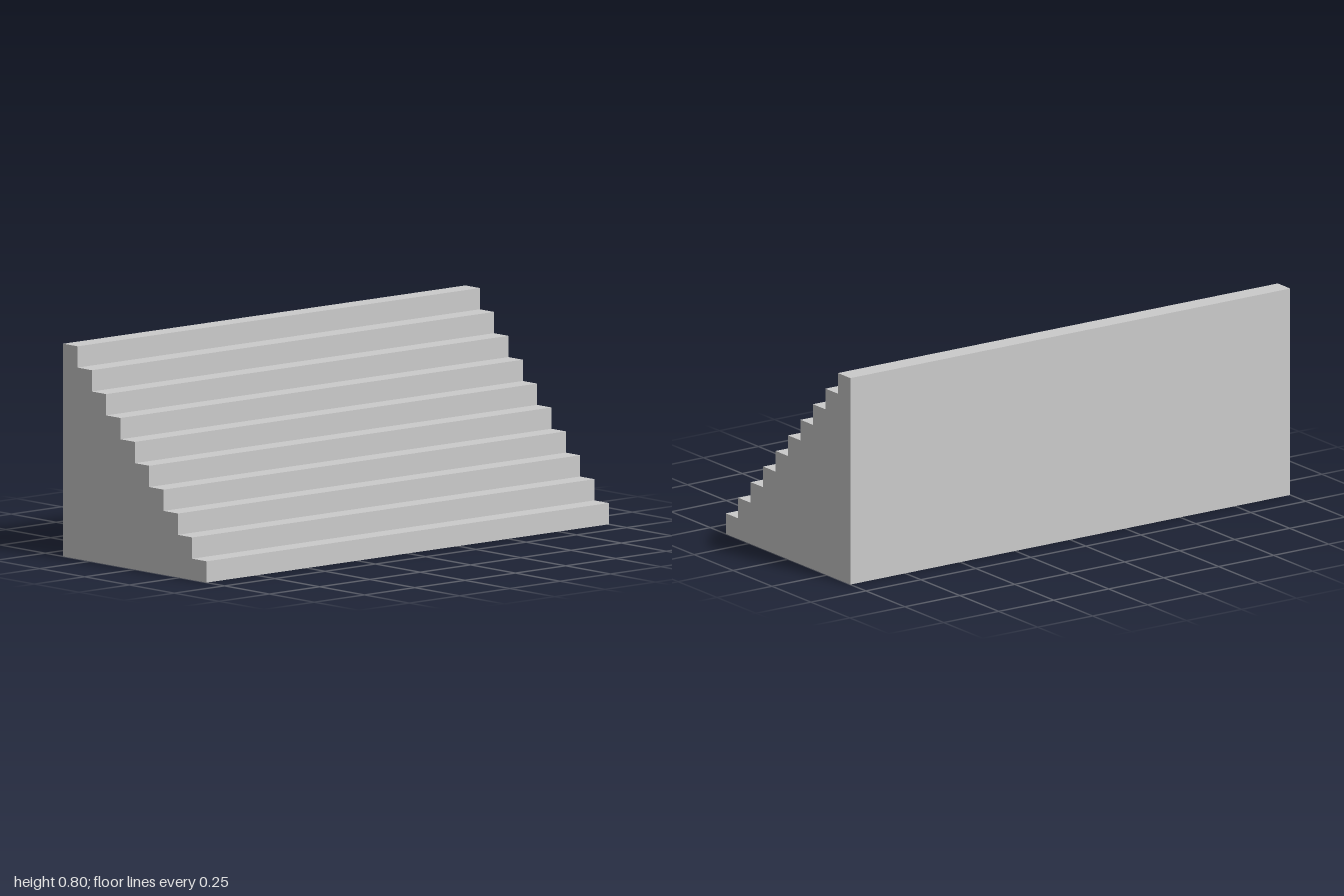
import * as THREE from 'three';

const STEPS = 10;
const RISE = 0.08;
const RUN = 0.08;
const WIDTH = 2;

export function createModel() {
  const group = new THREE.Group();
  group.name = 'staircase';

  // Side profile: shape x becomes model z, with the lowest step at the front
  const front = (STEPS * RUN) / 2;
  const profile = new THREE.Shape();
  profile.moveTo(-front, 0);
  profile.lineTo(front, 0);
  for (let i = 0; i < STEPS; i++) {
    const z = front - i * RUN;
    const y = (i + 1) * RISE;
    profile.lineTo(z, y); // riser
    profile.lineTo(z - RUN, y); // tread
  }
  profile.closePath();

  // Solid flight of steps, extruded across the width
  const geometry = new THREE.ExtrudeGeometry(profile, { depth: WIDTH, bevelEnabled: false });
  geometry.translate(0, 0, -WIDTH / 2);
  geometry.rotateY(-Math.PI / 2);

  const material = new THREE.MeshStandardMaterial({ color: 0xcccccc, flatShading: true });
  const steps = new THREE.Mesh(geometry, material);
  steps.name = 'steps';
  group.add(steps);
  return group;
}
